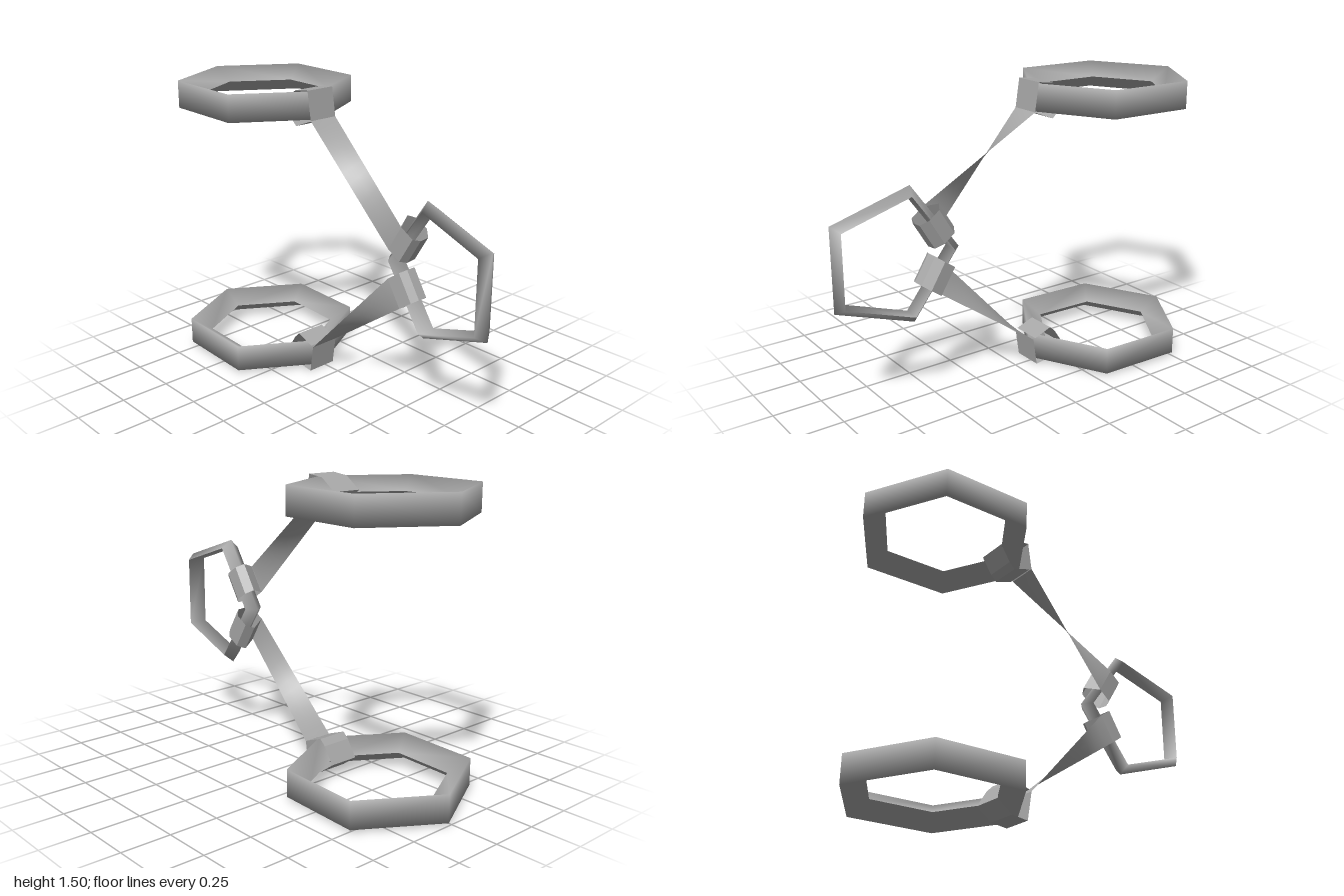
import * as THREE from 'three';
import { mergeGeometries } from 'three/addons/utils/BufferGeometryUtils.js';

const MID_Y = 0.7525;

// Polygonal ring: closed profile of [radius, height] swept round a few sides
function ring(profile, sides, phi) {
  const pts = [...profile, profile[0]].map(([r, h]) => new THREE.Vector2(r, h));
  return new THREE.LatheGeometry(pts, sides, phi);
}

// One stretch of webbing between two cross-sections [centre xyz, half-width xyz]
function webbing(a, b, steps) {
  const g = new THREE.PlaneGeometry(1, 1, 2, steps);
  const p = g.attributes.position;
  for (let i = 0; i < p.count; i++) {
    const side = p.getX(i) * 2, t = 0.5 - p.getY(i);
    const c = a.map((v, k) => v + (b[k] - v) * t);
    p.setXYZ(i, c[0] + side * c[3], c[1] + side * c[4], c[2] + side * c[5]);
  }
  g.computeVertexNormals();
  return g;
}

const chain = (sections, steps = 1) =>
  mergeGeometries(sections.slice(1).map((s, i) => webbing(sections[i], s, steps)));

export function createModel() {
  const model = new THREE.Group();
  const grey = new THREE.MeshStandardMaterial({ color: 0xa8a8a8, side: THREE.DoubleSide });
  grey.name = 'grey';

  const add = (parent, name, geometry) => {
    const mesh = new THREE.Mesh(geometry, grey);
    mesh.name = name;
    parent.add(mesh);
    return mesh;
  };

  // Small five-sided ring, standing upright with a ridge on the outside
  const smallGeo = ring([[0.315, -0.05], [0.36, 0], [0.315, 0.05]], 5, -Math.PI / 2);
  smallGeo.rotateX(Math.PI / 2);
  const small = add(model, 'smallRing', smallGeo);
  small.position.set(0.71, MID_Y, 0.01);
  small.rotation.y = -0.07;

  // Large six-sided grip, flat outside with a ridge inside
  const gripGeo = ring([[0.335, 0], [0.45, -0.07], [0.45, 0.07]], 6, THREE.MathUtils.degToRad(87.5));

  // Webbing laid flat across z at the grip
  const flat = (x, y) => [x, y, 0.025, 0, 0, 0.08];
  const gripLoop = [
    [-0.078, 1.358], [-0.1, 1.503], [-0.19, 1.492], [-0.275, 1.43],
    [-0.22, 1.345], [-0.188, 1.315], [-0.09, 1.352],
  ].map(([x, y]) => flat(x, y));

  // Webbing turned to lie along the side of the small ring;
  // t is the distance back from the inner edge of the loop
  const turned = (t, z) => [0.54 - 0.82 * t, 0.835 + 0.57 * t, z, -0.04, -0.065, 0];
  const ringLoop = [
    [0.1, 0.065], [0.02, 0.058], [0, 0.02], [0.005, -0.035], [0.05, -0.065],
    [0.12, -0.06], [0.15, -0.02], [0.1, 0.062],
  ].map(([t, z]) => turned(t, z));

  // Upper half, then its mirror image below
  for (const [name, sign] of [['upper', 1], ['lower', -1]]) {
    const half = new THREE.Group();
    half.name = name + 'Handle';
    add(half, name + 'Grip', gripGeo).position.set(-0.55, 1.42 - MID_Y, 0);
    const parts = {
      GripLoop: chain(gripLoop),
      Strap: chain([flat(-0.078, 1.358), turned(0.1, 0.065)], 12),
      RingLoop: chain(ringLoop),
    };
    for (const [part, geometry] of Object.entries(parts)) {
      add(half, name + part, geometry).position.y = -MID_Y;
    }
    half.scale.y = sign;
    half.position.y = MID_Y;
    model.add(half);
  }
  return model;
}
